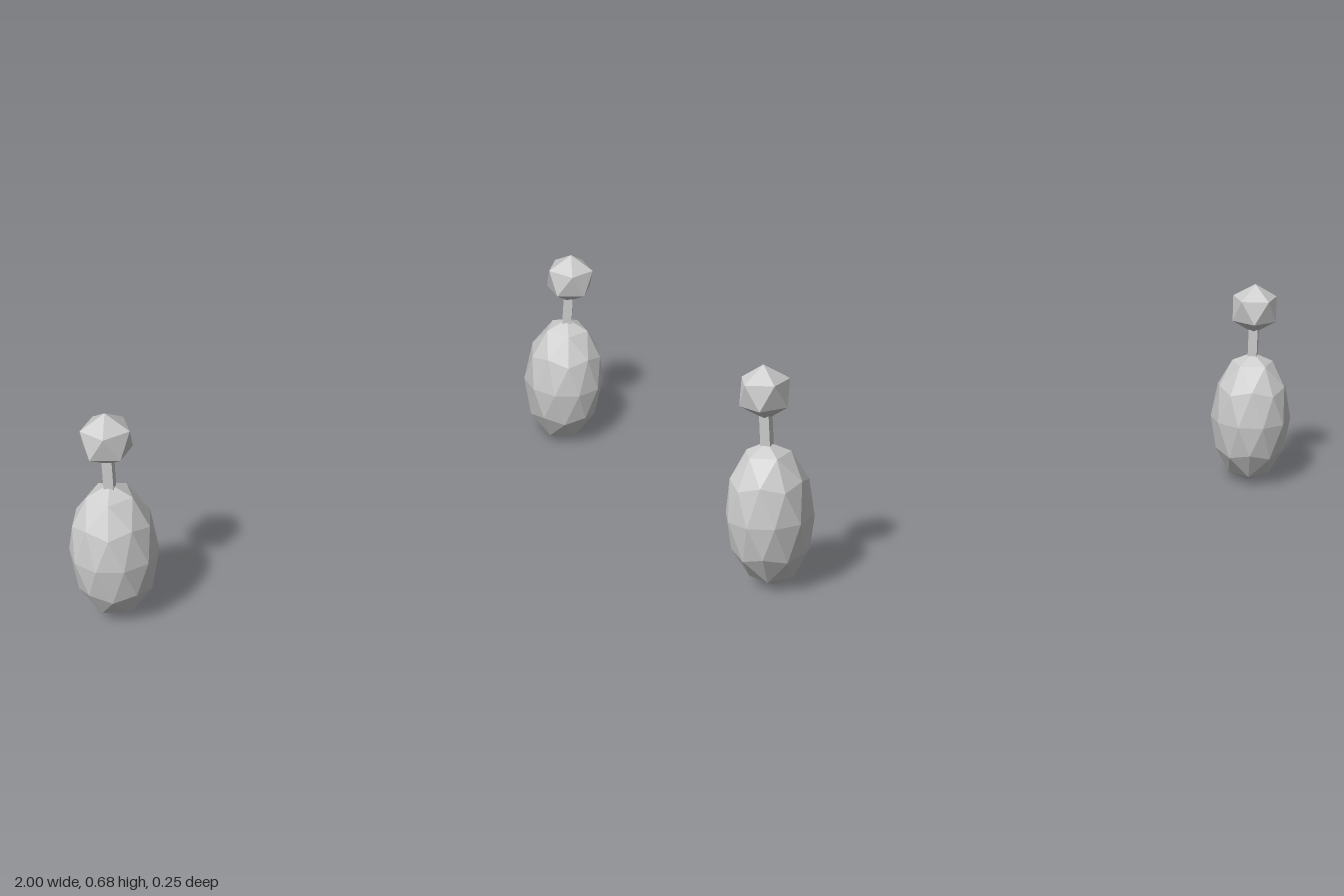
import * as THREE from 'three';

// Icosphere with its points on the y axis, stretched to the given radii
function facetedBall(radius, halfHeight, detail) {
  const verts = [0, 1, 0];
  const ringY = 1 / Math.sqrt(5), ringR = 2 / Math.sqrt(5);
  for (const [start, side] of [[-90, 1], [-54, -1]]) {
    for (let i = 0; i < 5; i++) {
      const a = THREE.MathUtils.degToRad(start + 72 * i);
      verts.push(ringR * Math.cos(a), side * ringY, ringR * Math.sin(a));
    }
  }
  verts.push(0, -1, 0);
  const faces = [];
  for (let i = 0; i < 5; i++) {
    const j = (i + 1) % 5;
    const u = 1 + i, un = 1 + j, l = 6 + i, ln = 6 + j;
    faces.push(0, un, u, u, un, l, l, un, ln, 11, l, ln);
  }
  const geo = new THREE.PolyhedronGeometry(verts, faces, 1, detail);
  geo.scale(radius, halfHeight, radius);
  geo.computeVertexNormals(); // unshared corners, so this gives flat facets
  return geo;
}

export function createModel() {
  const model = new THREE.Group();
  model.name = 'pendantPair';
  const grey = new THREE.MeshStandardMaterial({ color: 0xcccccc });
  grey.name = 'lightGrey';

  const parts = [
    ['drop', facetedBall(0.132, 0.2235, 1), 0.2235],
    ['stem', new THREE.CylinderGeometry(0.021, 0.021, 0.12, 4).toNonIndexed(), 0.48],
    ['bead', facetedBall(0.083, 0.083, 0), 0.597],
  ];

  // One pendant on each side
  for (const [name, x] of [['leftPendant', 0.868], ['rightPendant', -0.868]]) {
    const pendant = new THREE.Group();
    pendant.name = name;
    pendant.position.x = x;
    for (const [part, geo, y] of parts) {
      geo.computeVertexNormals();
      const mesh = new THREE.Mesh(geo, grey);
      mesh.name = part;
      mesh.position.y = y;
      pendant.add(mesh);
    }
    model.add(pendant);
  }
  return model;
}
